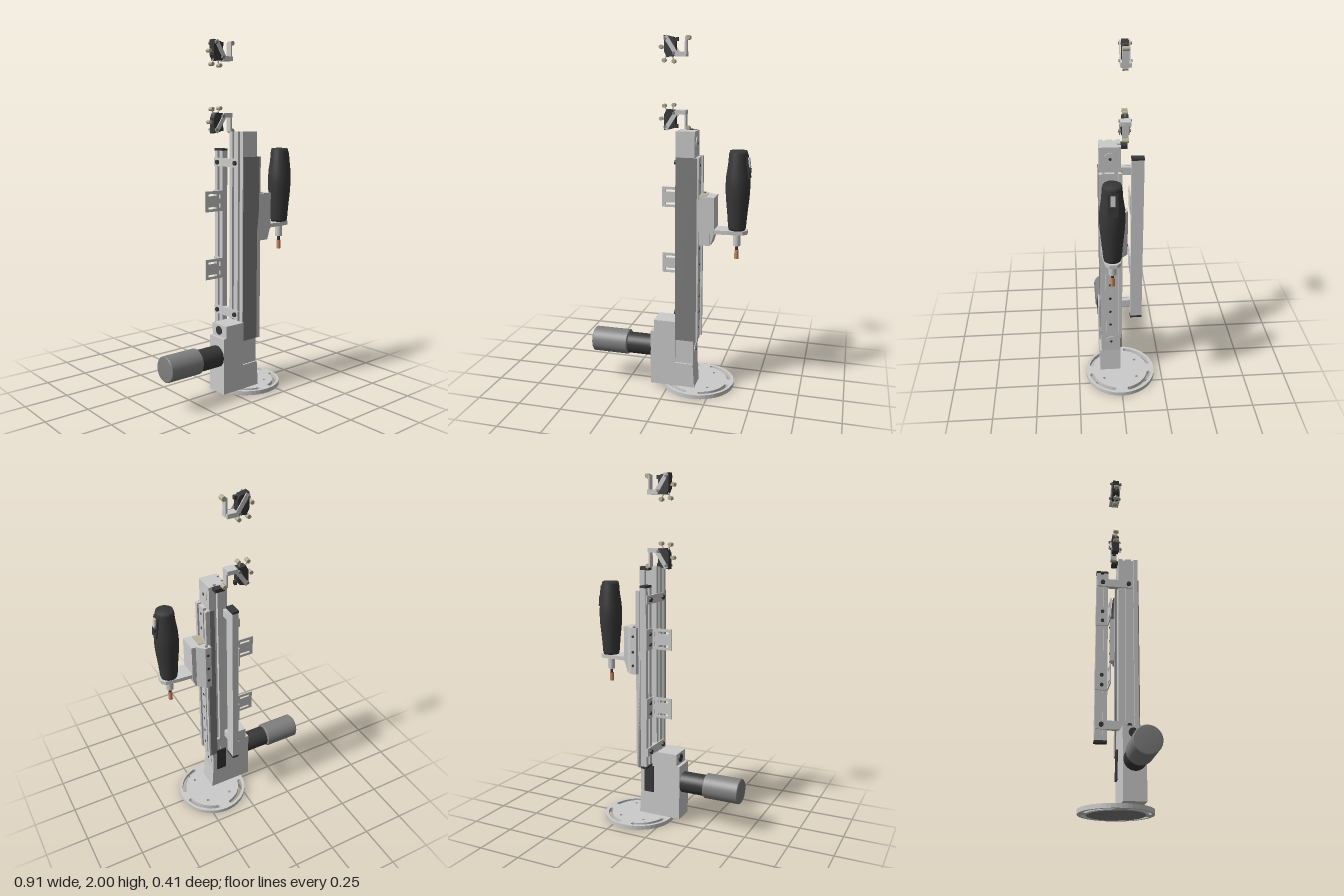
import * as THREE from 'three';

const mat = (color) => new THREE.MeshStandardMaterial({ color });
const grey = mat(0xcccccc), mid = mat(0x808080), dark = mat(0x383838);
const tan = mat(0xb8b398), copper = mat(0xc98a68);

export function createModel() {
  const root = new THREE.Group();
  const add = (name, geo, m = grey, parent = root) => {
    const mesh = new THREE.Mesh(geo, m);
    mesh.name = name;
    parent.add(mesh);
    return mesh;
  };
  // Box given by its limits on each axis
  const box = (name, x0, x1, y0, y1, z0, z1, m, parent) => {
    const mesh = add(name, new THREE.BoxGeometry(x1 - x0, y1 - y0, z1 - z0), m, parent);
    mesh.position.set((x0 + x1) / 2, (y0 + y1) / 2, (z0 + z1) / 2);
    return mesh;
  };
  // Cylinder centred at a point along a chosen axis
  const rod = (name, axis, x, y, z, r, len, m, parent, sides = 20) => {
    const geo = new THREE.CylinderGeometry(r, r, len, sides);
    if (axis === 'x') geo.rotateZ(Math.PI / 2);
    if (axis === 'z') geo.rotateX(Math.PI / 2);
    const mesh = add(name, geo, m, parent);
    mesh.position.set(x, y, z);
    return mesh;
  };
  const shapeOf = (pts) => new THREE.Shape(pts.map(([a, b]) => new THREE.Vector2(a, b)));
  const extrude = (shape, depth) =>
    new THREE.ExtrudeGeometry(shape, { depth, bevelEnabled: false, curveSegments: 10 });
  // Plan outline in (x, z) raised from y0 to y1
  const plan = (name, pts, y0, y1, m) => {
    const geo = extrude(shapeOf(pts.map(([x, z]) => [x, -z])), y1 - y0);
    const mesh = add(name, geo.rotateX(-Math.PI / 2), m);
    mesh.position.y = y0;
    return mesh;
  };
  // Front outline in (x, y) extruded from z0 to z1
  const side = (name, pts, z0, z1, m, parent) => {
    const mesh = add(name, extrude(shapeOf(pts), z1 - z0), m, parent);
    mesh.position.z = z0;
    return mesh;
  };

  // Round base with four curved slots and screw holes
  const disc = new THREE.Shape();
  disc.absarc(0, 0, 0.207, 0, Math.PI * 2);
  for (let i = 0; i < 4; i++) {
    const a0 = i * Math.PI / 2 + 0.25, a1 = (i + 1) * Math.PI / 2 - 0.55 + 0.3, r = 0.178, w = 0.012;
    const slot = new THREE.Path();
    slot.absarc(0, 0, r + w, a0, a1, false);
    slot.absarc(r * Math.cos(a1), r * Math.sin(a1), w, a1, a1 + Math.PI, false);
    slot.absarc(0, 0, r - w, a1, a0, true);
    slot.absarc(r * Math.cos(a0), r * Math.sin(a0), w, a0 + Math.PI, a0 + 2 * Math.PI, false);
    disc.holes.push(slot);
    const hole = new THREE.Path();
    hole.absarc((i % 2 ? 1 : -1) * 0.075, (i < 2 ? 1 : -1) * 0.097, 0.009, 0, Math.PI * 2);
    disc.holes.push(hole);
  }
  const base = add('base', new THREE.ExtrudeGeometry(disc, { depth: 0.024, bevelEnabled: false, curveSegments: 24 })
    .rotateX(-Math.PI / 2));
  base.position.set(0.165, 0.004, 0);
  rod('basePad', 'y', 0.165, 0.004, 0, 0.158, 0.008, mid, root, 32);

  // Gear housing and motor
  side('gearHousing', [[-0.095, 0.028], [0.165, 0.028], [0.155, 0.17], [0.05, 0.17], [0.05, 0.42],
    [-0.075, 0.42], [-0.075, 0.35], [-0.095, 0.35]], -0.003, 0.12);
  box('housingBack', 0.05, 0.155, 0.17, 0.42, -0.003, 0.01);
  rod('housingPort', 'x', -0.076, 0.385, 0.055, 0.025, 0.006, dark);
  rod('motorNeck', 'x', -0.167, 0.24, 0.06, 0.061, 0.146, dark, root, 32);
  const motor = add('motor', new THREE.LatheGeometry([[0, -0.108], [0.066, -0.108], [0.072, -0.102], [0.072, -0.102],
    [0.072, 0.102], [0.072, 0.102], [0.066, 0.108], [0, 0.108]].map(([r, y]) => new THREE.Vector2(r, y)), 36), mid);
  motor.rotation.z = Math.PI / 2;
  motor.position.set(-0.347, 0.242, 0.058);

  // Column profile with long grooves
  plan('column', [[0.05, 0.11], [0.155, 0.11], [0.155, -0.005], [0.125, -0.005], [0.125, 0.015], [0.105, 0.015],
    [0.105, -0.005], [0.05, -0.005], [0.05, 0.02], [0.065, 0.02], [0.065, 0.035], [0.05, 0.035],
    [0.05, 0.07], [0.065, 0.07], [0.065, 0.085], [0.05, 0.085]], 0.17, 1.5);
  box('frontCover', 0.05, 0.17, 0.31, 1.36, 0.11, 0.115, mid);
  box('backCover', 0.128, 0.17, 0.31, 1.36, -0.011, -0.005, mid);
  for (const z of [-0.011, 0.093]) box('railEdge', 0.155, 0.18, 0.31, 1.36, z, z + 0.022);
  box('rail', 0.155, 0.175, 0.31, 1.36, 0.032, 0.082);
  for (let y = 0.38; y < 1.34; y += 0.0935) rod('railHole', 'x', 0.1745, y, 0.057, 0.008, 0.003, dark, root, 12);
  for (const y of [0.24, 1.435]) {
    rod('pulleyCover', 'x', 0.156, y, 0.052, 0.035, 0.006, grey, root, 24);
    rod('pulleyScrew', 'x', 0.158, y, 0.052, 0.008, 0.006, dark, root, 10);
  }
  box('backSwitchPlate', 0.07, 0.13, 0.17, 0.33, -0.012, -0.003, dark);

  // Carriage with chamfered corner, bracket and arm
  plan('carriage', [[0.165, -0.038], [0.2, -0.038], [0.24, 0.0], [0.24, 0.11], [0.165, 0.11]], 0.88, 1.15);
  box('carriageSeal', 0.16, 0.216, 1.15, 1.153, 0.012, 0.097, tan);
  rod('carriageScrew', 'y', 0.155 + 0.03, 1.151, -0.02, 0.009, 0.006, mid, root, 10);
  for (const y of [0.93, 1.01, 1.1]) rod('carriageBackScrew', 'z', 0.185, y, -0.038, 0.008, 0.004, dark, root, 10);
  box('armBracket', 0.24, 0.265, 0.945, 1.15, 0.0, 0.11);
  plan('arm', [[0.24, 0.0], [0.34, 0.005], [0.42, 0.015], [0.44, 0.035], [0.44, 0.075], [0.42, 0.095],
    [0.34, 0.108], [0.24, 0.11]], 0.948, 0.97);
  side('armRib', [[0.24, 0.88], [0.245, 0.88], [0.265, 0.945], [0.24, 0.945]], 0.005, 0.105);

  // Hand grip with its button, collar and copper tip
  const grip = add('grip', new THREE.LatheGeometry([[0, 0.97], [0.045, 0.97], [0.049, 0.985], [0.054, 1.05], [0.064, 1.15],
    [0.067, 1.21], [0.064, 1.27], [0.055, 1.33], [0.051, 1.385], [0.046, 1.402], [0, 1.402]]
    .map(([r, y]) => new THREE.Vector2(r, y)), 24), dark);
  grip.position.set(0.383, 0, 0.057);
  const panel = box('buttonPanel', 0.428, 0.442, 1.255, 1.375, 0.03, 0.084, dark);
  panel.rotation.z = 0.14;
  box('button', 0.438, 0.447, 1.315, 1.365, 0.045, 0.069, grey).rotation.z = 0.14;
  box('buttonLip', 0.43, 0.452, 1.285, 1.31, 0.04, 0.074, dark);
  rod('collar', 'y', 0.383, 0.915, 0.057, 0.021, 0.07);
  rod('collarNut', 'y', 0.383, 0.95, 0.057, 0.014, 0.05);
  rod('tipStem', 'y', 0.383, 0.87, 0.057, 0.008, 0.035, dark);
  rod('copperTip', 'y', 0.383, 0.83, 0.057, 0.012, 0.05, copper);

  // Rear slotted beam with end caps
  plan('rearBeam', [[0.05, -0.135], [0.086, -0.135], [0.086, -0.067], [0.05, -0.067], [0.05, -0.092], [0.062, -0.092],
    [0.062, -0.11], [0.05, -0.11]], 0.37, 1.39);
  for (const y of [0.358, 1.39]) box('beamCap', 0.049, 0.087, y, y + 0.013, -0.136, -0.066, dark);

  // Beam mounts
  for (const y of [0.455, 1.325]) {
    box('mountPlate', 0.042, 0.05, y - 0.024, y + 0.024, -0.133, 0.08);
    box('mountSpacer', 0.05, 0.075, y - 0.022, y + 0.022, -0.067, -0.005);
    for (const z of [-0.1, 0.055]) rod('mountScrew', 'x', 0.037, y, z, 0.013, 0.012, dark, root, 12);
  }

  // Slotted tabs on the beam
  for (const y of [0.652, 1.045]) {
    const tab = shapeOf([[-0.075, 0], [0.05, 0], [0.05, 0.118], [-0.075, 0.118]]);
    for (const [x, v, w, h] of [[-0.055, 0.015, 0.06, 0.012], [-0.055, 0.09, 0.06, 0.012],
      [0.022, 0.02, 0.01, 0.025], [0.022, 0.072, 0.01, 0.025]]) {
      tab.holes.push(new THREE.Path([[x, v], [x + w, v], [x + w, v + h], [x, v + h]]
        .map(([a, b]) => new THREE.Vector2(a, b))));
    }
    add('tab', extrude(tab, 0.006)).position.set(0, y, -0.07);
    box('tabFlange', 0.043, 0.05, y, y + 0.118, -0.139, -0.064);
    for (const v of [0.03, 0.088]) rod('tabScrew', 'x', 0.04, y + v, -0.1, 0.01, 0.008, dark, root, 12);
  }

  // Two mirrored guide rollers; s flips the upper one
  for (const [label, y0, s] of [['lowerGuide', 1.49, 1], ['upperGuide', 2.0, -1]]) {
    const g = new THREE.Group();
    g.name = label;
    root.add(g);
    const flip = (pts) => pts.map(([x, y]) => [x, y0 + s * y]);
    side('guideBlock', flip([[-0.05, 0.0], [0.0, 0.01], [0.014, 0.03], [0.014, 0.11], [-0.035, 0.115],
      [-0.05, 0.085]]), -0.056, -0.018, dark, g);
    for (const z of [-0.064, -0.013]) {
      side('guideCheek', flip([[-0.05, 0.012], [-0.03, 0.0], [0.028, 0.088], [0.075, 0.088], [0.075, 0.112],
        [0.015, 0.112]]), z, z + 0.006, grey, g);
    }
    side('guideBridge', flip([[0.015, 0.09], [0.075, 0.09], [0.075, 0.112], [0.015, 0.112]]), -0.06, -0.01, grey, g);
    side('guideLeg', flip([[0.067, 0.01], [0.076, 0.01], [0.076, 0.1], [0.067, 0.1]]), -0.05, -0.015, grey, g);
    rod('legPad', 'z', 0.083, y0 + s * 0.014, -0.033, 0.013, 0.034, tan, g, 12);
    for (const [x, y] of [[-0.053, 0.133], [0.002, 0.138], [-0.07, 0.062]]) {
      rod('guideKnob', 'z', x, y0 + s * y, -0.037, 0.011, 0.03, tan, g, 10);
      const dx = -0.022 - x, dy = 0.07 - y;
      const stem = rod('knobStem', 'y', x + dx / 2, y0 + s * (y + dy / 2), -0.037, 0.004, Math.hypot(dx, dy), grey, g, 8);
      stem.rotation.z = -Math.atan2(dx, s * dy);
    }
    for (const [x, y] of [[-0.04, 0.02], [0.008, 0.095]]) rod('guideBolt', 'z', x, y0 + s * y, -0.037, 0.008, 0.07, mid, g, 10);
    box('guideStop', 0.012, 0.026, y0 + s * 0.022 - 0.01, y0 + s * 0.022 + 0.01, -0.047, -0.027, dark, g);
  }
  // Mount for the lower guide
  box('guideMount', 0.08, 0.135, 1.48, 1.5, -0.04, -0.005, dark);
  return root;
}
